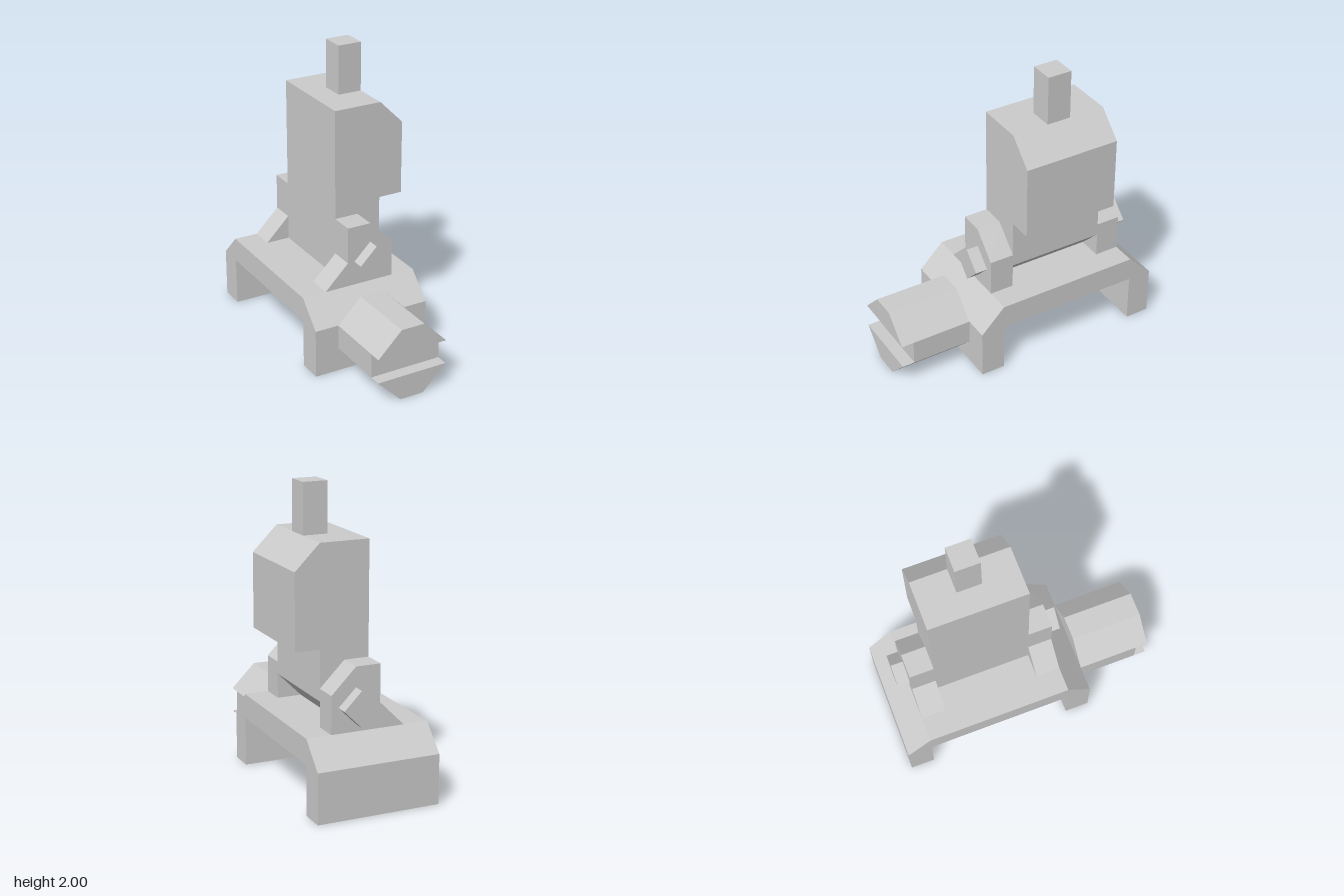
import * as THREE from 'three';

const U = 1 / 12; // modelling unit
const material = new THREE.MeshStandardMaterial({ color: 0xcccccc, flatShading: true });

// Extrudes a profile of [x, y] points from z0 to z1, all in modelling units.
function prism(name, points, z0, z1) {
  const shape = new THREE.Shape(points.map(([x, y]) => new THREE.Vector2(x * U, y * U)));
  const geometry = new THREE.ExtrudeGeometry(shape, { depth: (z1 - z0) * U, bevelEnabled: false });
  geometry.translate(0, 0, z0 * U);
  const mesh = new THREE.Mesh(geometry, material);
  mesh.name = name;
  return mesh;
}

export function createModel() {
  const model = new THREE.Group();
  model.name = 'machine';

  // Bridge-shaped base: side profile (z, y) swept across the width
  const base = prism('base', [
    [5, 0], [5, 4], [3, 6], [-9, 6], [-11, 4], [-11, 0],
    [-9, 0], [-9, 4], [3, 4], [3, 0],
  ], -5, 5);
  base.geometry.rotateY(-Math.PI / 2);
  model.add(base);

  // Front drum: two tapered shells around a shorter core
  const drum = new THREE.Group();
  drum.name = 'frontDrum';
  drum.add(
    prism('drumUpperShell', [[-3, 4], [3, 4], [1, 6], [-1, 6]], 5, 11),
    prism('drumCore', [[-3, 2], [3, 2], [3, 4], [-3, 4]], 5, 10),
    prism('drumLowerShell', [[-1, 0], [1, 0], [3, 2], [-3, 2]], 5, 11),
  );
  model.add(drum);

  // Tall body with an overhanging upper half and an undercut foot
  model.add(prism('body', [
    [-1, 6], [1, 6], [3, 8], [3, 12], [5, 12], [5, 18], [3, 20], [-1, 20],
  ], -7, 1));

  // Post on top of the body
  model.add(prism('topPost', [[1, 20], [3, 20], [3, 24], [1, 24]], -4, -2));

  // Hinge brackets at both ends of the body, each with a square pivot pin
  const r = Math.SQRT2;
  for (const [side, z, pinZ] of [['front', 1, 3], ['back', -9, -10]]) {
    model.add(prism(side + 'Bracket', [
      [-3, 6], [3, 6], [3, 9], [1, 11], [-1, 11], [-1, 8],
    ], z, z + 2));
    model.add(prism(side + 'Pin', [[1, 8 - r], [1 + r, 8], [1, 8 + r], [1 - r, 8]], pinZ, pinZ + 1));
  }

  return model;
}
